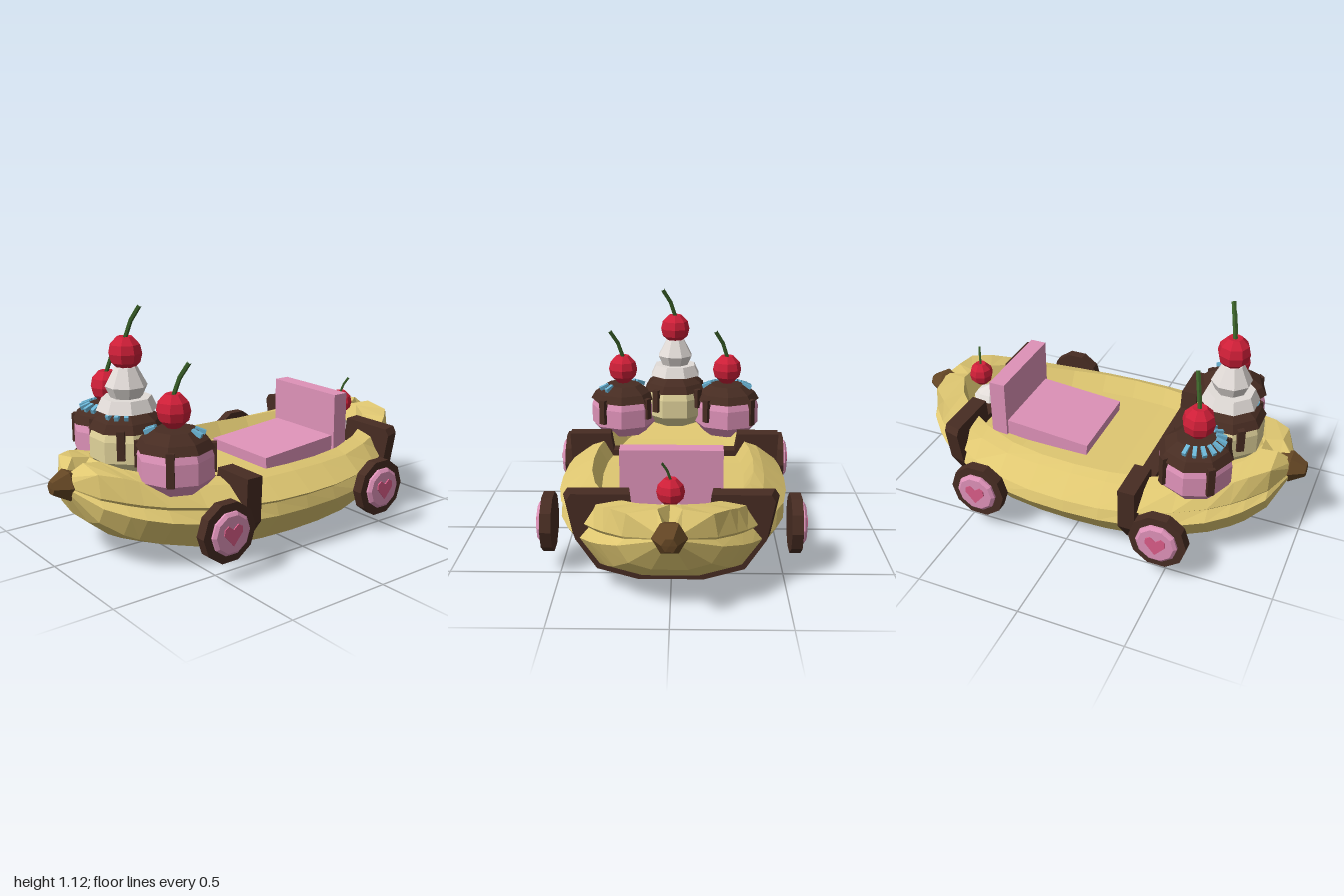
import * as THREE from 'three';

const mat = (name, color) => Object.assign(new THREE.MeshStandardMaterial({ color }), { name });
const M = {
  banana: mat('banana yellow', 0xdfc771), chocolate: mat('chocolate', 0x472c22),
  pink: mat('strawberry pink', 0xde92b8), heart: mat('heart pink', 0xda5c88),
  cherry: mat('cherry red', 0xcf1f38), stem: mat('stem green', 0x3a6128),
  cream: mat('whipped cream', 0xe2dcd8), vanilla: mat('vanilla', 0xe0d29a),
  blue: mat('sprinkle blue', 0x6bb5d6), tip: mat('tip brown', 0x644624),
};

// Faceted mesh
function add(parent, name, geo, material, x = 0, y = 0, z = 0) {
  const g = geo.index ? geo.toNonIndexed() : geo;
  g.computeVertexNormals();
  const m = new THREE.Mesh(g, material);
  m.name = name;
  m.position.set(x, y, z);
  parent.add(m);
  return m;
}
const lathe = (pts, n = 8, phi = Math.PI / 8) =>
  new THREE.LatheGeometry(pts.map(p => new THREE.Vector2(...p)), n, phi);
const box = (w, h, d) => new THREE.BoxGeometry(w, h, d);

// Hull: lofted along z; z, half width, bottom, seam height, rim height, cockpit half width
function hullGeometry() {
  const half = [
    [0, .545, 0, .275, .37, .39], [.17, .54, .003, .276, .37, .382], [.34, .52, .012, .282, .372, .352],
    [.5, .47, .034, .29, .388, .3], [.64, .41, .07, .303, .41, .225], [.73, .35, .103, .315, .43, .14],
    [.785, .305, .13, .325, .447, .04], [.865, .22, .195, .34, .46, .05], [.93, .06, .32, .36, .4, .02],
  ];
  const stations = [...half.slice(1).reverse().map(([z, ...r]) => [-z, ...r]), ...half];
  const rings = stations.map(([z, w, b, m, t, r]) => {
    const mix = k => b + (m - b) * k;
    const lip = 1 - .16 * z * z; // the upper lip draws in towards the ends
    const floor = Math.max(r - .045, 0), floorY = floor ? t - .08 : t;
    const side = [
      [w * .34, b], [w * .77, mix(.2)], [w * .98, mix(.72)], [w * (lip - .05), mix(.93)], [w * lip, m],
      [w * .8, t - .02], [r, t], [floor, floorY],
    ];
    const pts = [[0, b], ...side, [0, floorY], ...side.slice().reverse().map(([x, y]) => [-x, y])];
    return pts.map(([x, y]) => [x, y, z]);
  });
  const pos = [], n = rings[0].length;
  for (let i = 0; i < rings.length - 1; i++)
    for (let j = 0; j < n; j++) {
      const k = (j + 1) % n, [a, b, c, d] = [rings[i][j], rings[i][k], rings[i + 1][k], rings[i + 1][j]];
      const tris = j < n / 2 ? [a, b, c, a, c, d] : [a, b, d, b, c, d];
      pos.push(...tris.flat());
    }
  const g = new THREE.BufferGeometry();
  g.setAttribute('position', new THREE.Float32BufferAttribute(pos, 3));
  return g;
}

// Chocolate band with raised posts on the rim and a low strip across the floor
function band(parent, name, z, backScale, pts) {
  const outline = [...pts, ...pts.slice().reverse().map(([x, y]) => [-x, y])];
  const shape = new THREE.Shape(outline.map(p => new THREE.Vector2(...p)));
  const geo = new THREE.ExtrudeGeometry(shape, { depth: .08, bevelEnabled: false });
  const p = geo.attributes.position;
  for (let i = 0; i < p.count; i++) if (p.getZ(i) < .01) p.setX(i, p.getX(i) * backScale);
  add(parent, name, geo, M.chocolate, 0, 0, z - .04);
}

function cherry(parent, x, y, z, r, stem) {
  const g = new THREE.Group();
  g.name = 'cherry';
  g.position.set(x, y, z);
  const profile = [[0, -1], [.4, -.97], [.88, -.52], [1, 0], [.88, .52], [.45, .97], [0, .9]];
  add(g, 'cherryFruit', lathe(profile.map(([a, b]) => [a * r, b * r]), 8, 0), M.cherry);
  const path = new THREE.CurvePath();
  const p = [[0, .85 * r, 0], [.3 * stem, .85 * r + stem, -.2 * stem], [.87 * stem, .85 * r + 1.95 * stem, -.5 * stem]]
    .map(v => new THREE.Vector3(...v));
  path.add(new THREE.LineCurve3(p[0], p[1]));
  path.add(new THREE.LineCurve3(p[1], p[2]));
  add(g, 'cherryStem', new THREE.TubeGeometry(path, 2, stem * .14, 5), M.stem);
  parent.add(g);
}

// Ice cream scoop with sauce, drips and sprinkles; y is its base
function scoop(parent, name, x, y, z, material, phi, drips, sprinkles) {
  const g = new THREE.Group();
  g.name = name;
  g.position.set(x, y, z);
  add(g, 'iceCream', lathe([[0, 0], [.12, 0], [.17, .055], [.17, .15], [.15, .21]], 8, phi), material);
  add(g, 'sauce', lathe([[.155, .182], [.174, .186], [.15, .225], [.095, .264], [0, .268]], 8, phi), M.chocolate);
  for (const [angle, length] of drips) {
    const d = add(g, 'sauceDrip', box(.034, length, .03), M.chocolate);
    d.position.set(Math.sin(angle) * .163, .205 - length / 2, Math.cos(angle) * .163);
    d.rotation.y = angle;
  }
  for (const angle of sprinkles) {
    const s = add(g, 'sprinkle', box(.018, .02, .05), M.blue);
    s.position.set(Math.sin(angle) * .108, .257, Math.cos(angle) * .108);
    s.rotation.set(.35, angle, 0, 'YXZ');
  }
  parent.add(g);
}

function heartGeometry(s) {
  const h = new THREE.Shape();
  h.moveTo(0, -s);
  h.lineTo(s * .95, s * .1);
  h.lineTo(s * .9, s * .6);
  h.lineTo(s * .5, s * .85);
  h.lineTo(0, s * .45);
  h.lineTo(-s * .5, s * .85);
  h.lineTo(-s * .9, s * .6);
  h.lineTo(-s * .95, s * .1);
  return new THREE.ExtrudeGeometry(h, { depth: .007, bevelEnabled: false });
}

function wheel(parent, s, z) {
  const g = new THREE.Group();
  g.name = 'wheel';
  g.position.set(0, .215, z);
  const turned = geo => geo.rotateZ(-s * Math.PI / 2);
  add(g, 'tyre', turned(new THREE.CylinderGeometry(.136, .136, .05, 10)), M.chocolate, s * .555);
  add(g, 'hubcap', turned(lathe([[.098, 0], [.098, .015], [.084, .026], [0, .026]], 10, 0)), M.pink, s * .575);
  add(g, 'hubHeart', heartGeometry(.05).rotateY(s * Math.PI / 2), M.heart, s * .6);
  parent.add(g);
}

export function createModel() {
  const car = new THREE.Group();
  car.name = 'bananaSplitKart';

  add(car, 'bananaHull', hullGeometry(), M.banana);
  for (const s of [1, -1]) {
    const tip = lathe([[.055, .87], [.074, .925], [.032, .997], [0, 1]], 6, Math.PI / 6);
    add(car, s > 0 ? 'frontTip' : 'backTip', tip.rotateX(s * Math.PI / 2), M.tip, 0, .36);
  }

  band(car, 'frontBand', .315, 1, [[.185, .003], [.42, .055], [.53, .2], [.54, .41], [.33, .41], [.315, .32]]);
  band(car, 'backBand', -.62, .95, [[.15, .05], [.335, .1], [.43, .235], [.465, .41], [.445, .44], [.18, .44], [.17, .35]]);

  // Seat, with the cushion rising towards the back
  add(car, 'seatCushion', box(.42, .08, .43), M.pink, 0, .322, -.235).rotation.x = .08;
  add(car, 'seatBack', box(.45, .29, .08), M.pink, 0, .445, -.485);

  for (const s of [1, -1]) for (const z of [.48, -.42]) wheel(car, s, z);

  // Sundae on the nose
  const fan = (n, start, step) => Array.from({ length: n }, (_, i) => start + i * step);
  scoop(car, 'rightScoop', -.28, .345, .545, M.pink, 0,
    [[.85, .13], [-.85, .14], [2.4, .12], [4, .14]], fan(10, -1.7, .36));
  scoop(car, 'leftScoop', .28, .345, .545, M.pink, 0,
    [[.85, .15], [-.85, .12], [2.5, .13], [-2.2, .11]], [-.97, -.65, 2, 2.45]);
  scoop(car, 'middleScoop', 0, .385, .61, M.vanilla, Math.PI / 8,
    [[.85, .13], [-.95, .11], [2.5, .12], [-2.3, .1]], [.3, .65, 1]);
  add(car, 'whippedCream', lathe([[0, .645], [.138, .65], [.112, .705], [.072, .705], [.095, .755],
    [.05, .84], [0, .86]]), M.cream, 0, 0, .61);
  cherry(car, -.28, .69, .55, .076, .076);
  cherry(car, .28, .69, .55, .076, .076);
  cherry(car, 0, .9, .61, .076, .076);

  // Dollop behind the seat
  add(car, 'backCream', lathe([[.1, .29], [.1, .33], [.065, .38], [0, .41]]), M.cream, 0, 0, -.66);
  cherry(car, 0, .472, -.705, .06, .042);
  return car;
}
